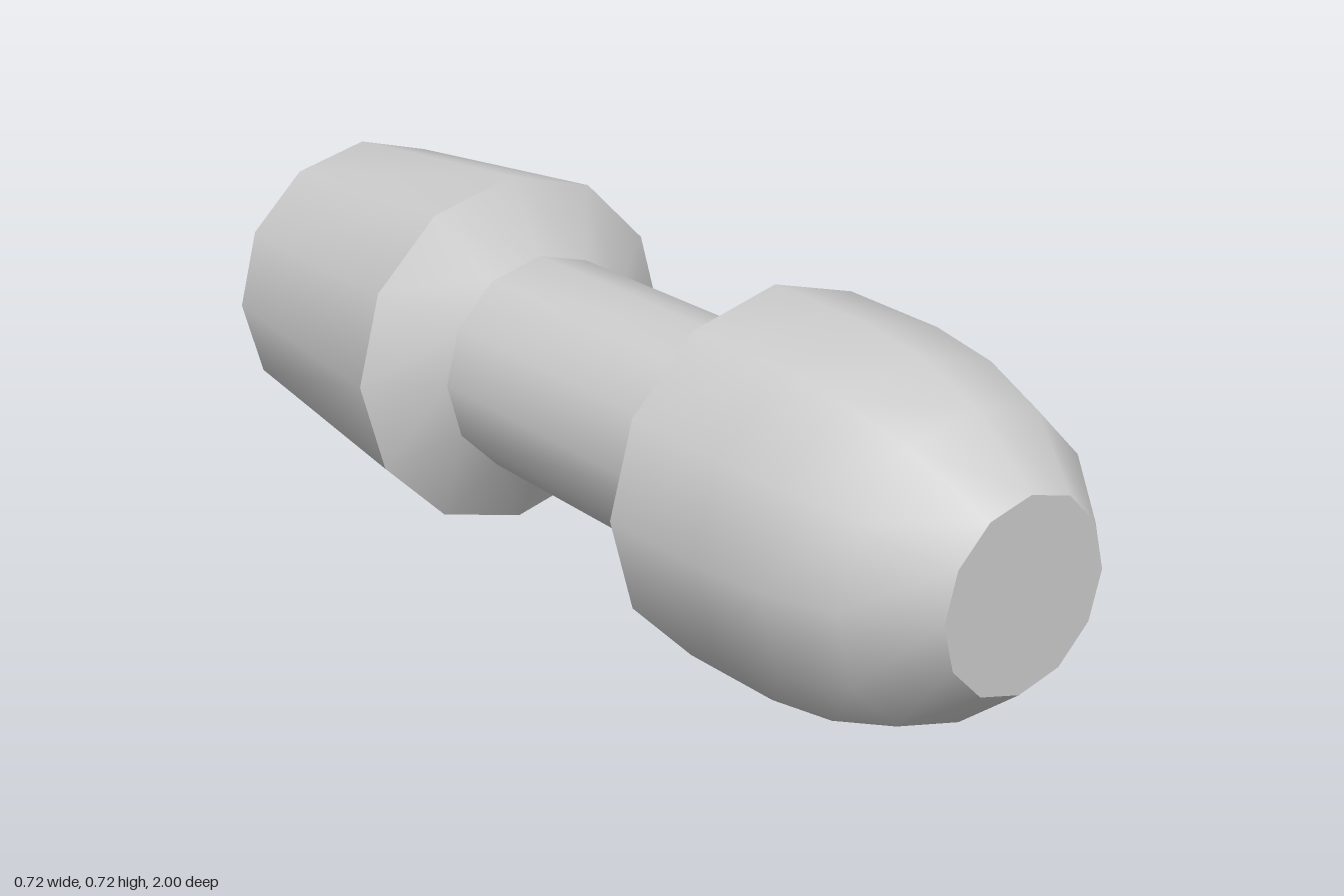
import * as THREE from 'three';
import { toCreasedNormals } from 'three/addons/utils/BufferGeometryUtils.js';

const SIDES = 12;
const AXIS_HEIGHT = 0.36;

// Turns a [radius, z] profile, listed from back to front, around the z axis
function turnedPart(name, profile, material) {
  const points = profile.map(([r, z]) => new THREE.Vector2(r, z));
  const lathe = new THREE.LatheGeometry(points, SIDES).rotateX(Math.PI / 2);
  const mesh = new THREE.Mesh(toCreasedNormals(lathe, 0.7), material);
  mesh.name = name;
  mesh.position.y = AXIS_HEIGHT;
  return mesh;
}

export function createModel() {
  const model = new THREE.Group();
  model.name = 'roundNosedPlug';
  const grey = new THREE.MeshStandardMaterial({ color: 0xcccccc });

  // Rounded nose with a flat tip and a flat shoulder behind it
  model.add(turnedPart('nose', [
    [0.22, 0.38], [0.348, 0.38], [0.343, 0.6], [0.322, 0.74],
    [0.277, 0.87], [0.172, 1], [0, 1],
  ], grey));

  // Straight shaft
  model.add(turnedPart('shaft', [[0.22, -0.33], [0.22, 0.38]], grey));

  // Tapered tail: blind hole, dished end, outer wall and front bevel
  model.add(turnedPart('tail', [
    [0, -0.77], [0.153, -0.77], [0.153, -0.94], [0.308, -1],
    [0.36, -0.42], [0.22, -0.33],
  ], grey));

  return model;
}
